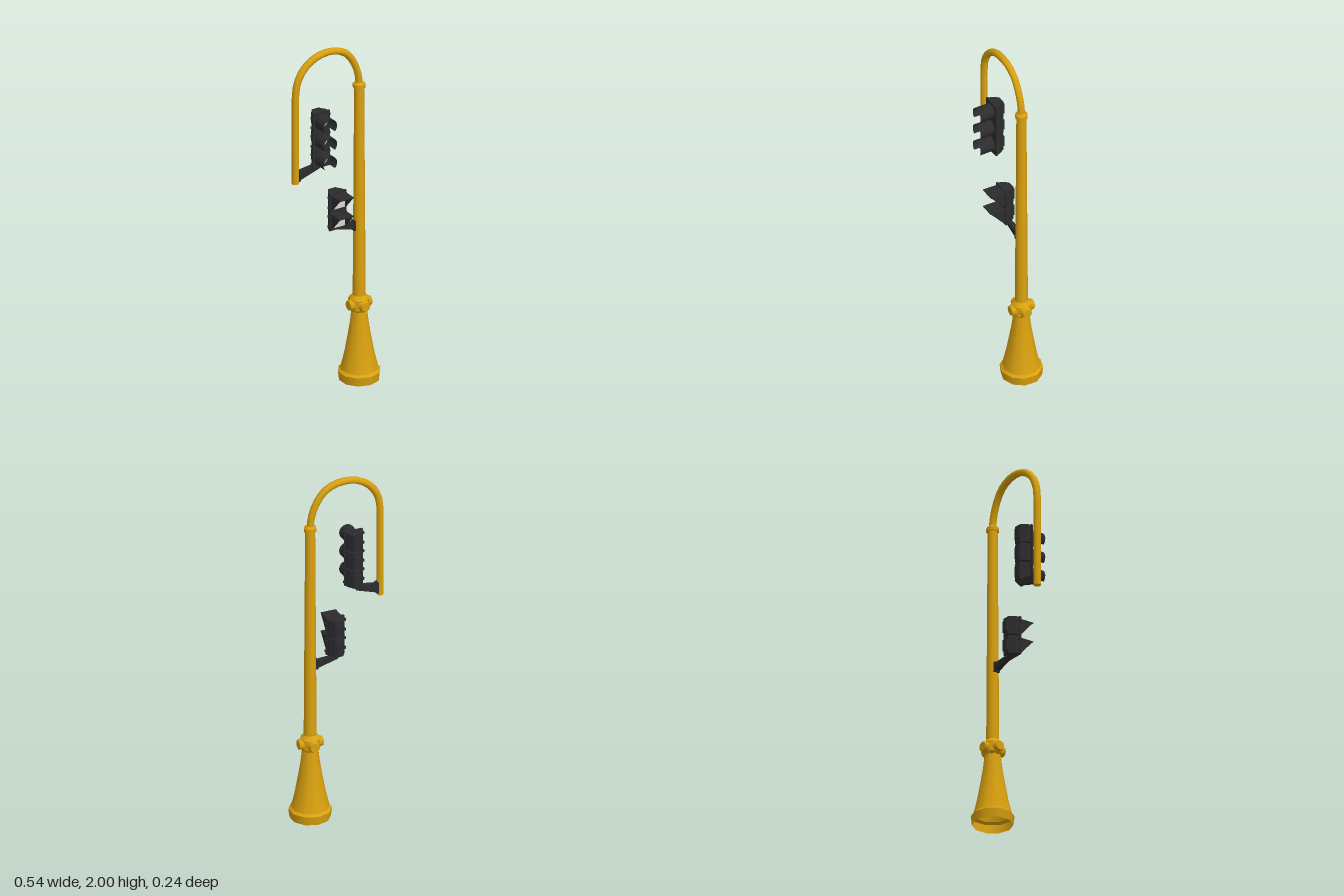
import * as THREE from 'three';

const DS = THREE.DoubleSide;
const yellow = new THREE.MeshStandardMaterial({ color: 0xdba20f, side: DS });
yellow.name = 'yellow paint';
const black = new THREE.MeshStandardMaterial({ color: 0x2c2c2e, side: DS, flatShading: true });
black.name = 'black housing';
const lensGrey = new THREE.MeshStandardMaterial({ color: 0xd6d6d6 });
lensGrey.name = 'pale lens';

const PX = 0.157, PZ = -0.005; // pole axis

function add(parent, name, geo, mat, x = 0, y = 0, z = 0) {
  const m = new THREE.Mesh(geo, mat);
  m.name = name;
  m.position.set(x, y, z);
  parent.add(m);
  return m;
}

const box = (w, h, d) => new THREE.BoxGeometry(w, h, d);

function lathe(points, sides) {
  return new THREE.LatheGeometry(points.map(p => new THREE.Vector2(p[0], p[1])), sides);
}

// Outline in the xy plane, extruded along z and centred on it
function slab(points, depth) {
  const s = new THREE.Shape(points.map(p => new THREE.Vector2(p[0], p[1])));
  return new THREE.ExtrudeGeometry(s, { depth, bevelEnabled: false }).translate(0, 0, -depth / 2);
}

// One housing section: wide front, chamfered back, seen from above as a trapezoid
function housing(h) {
  const g = slab([[-0.047, -0.03], [0.047, -0.03], [0.047, -0.005], [0.022, 0.032], [-0.022, 0.032], [-0.047, -0.005]], h);
  return g.rotateX(-Math.PI / 2);
}

// Shared signal section: back shell, front door, rear rib, hinges and latches
function section(g, y, h) {
  add(g, 'housing', housing(h - 0.006), black, 0, y, 0);
  add(g, 'door', box(0.106, h, 0.012), black, 0, y, 0.026);
  add(g, 'rearRib', box(0.038, h * 0.6, 0.012), black, 0, y, -0.034);
  for (const s of [-1, 1])
    for (const k of [-1, 1])
      add(g, 'hinge', box(0.012, 0.014, 0.012), black, s * 0.053, y + k * h * 0.27, 0.022);
}

function vehicleSignal() {
  const g = new THREE.Group();
  g.name = 'vehicleSignal';
  const gap = 0.75; // half angle of the opening under each visor
  for (const y of [-0.109, 0, 0.109]) {
    section(g, y, 0.107);
    const lens = new THREE.SphereGeometry(0.04, 20, 6, 0, Math.PI * 2, 0, Math.PI / 2);
    lens.rotateX(Math.PI / 2).scale(1, 1, 0.25);
    add(g, 'lens', lens, lensGrey, 0, y, 0.032);
    const visor = new THREE.CylinderGeometry(0.043, 0.043, 0.088, 16, 1, true, gap, Math.PI * 2 - 2 * gap);
    visor.rotateX(Math.PI / 2); // gap now faces down
    add(g, 'visor', visor, black, 0, y, 0.075);
  }
  return g;
}

function walkSignal() {
  const g = new THREE.Group();
  g.name = 'walkSignal';
  for (const y of [-0.055, 0.055]) {
    section(g, y, 0.109);
    add(g, 'lens', box(0.077, 0.08, 0.006), lensGrey, 0, y, 0.034);
    // Hood with a flat roof and triangular cheeks
    add(g, 'hoodRoof', box(0.088, 0.004, 0.086), black, 0, y + 0.043, 0.074);
    for (const s of [-1, 1]) {
      const cheek = slab([[0, 0.045], [0.086, 0.045], [0.012, -0.038], [0, -0.045]], 0.004).rotateY(-Math.PI / 2);
      add(g, 'hoodCheek', cheek, black, s * 0.042, y, 0.031);
    }
  }
  return g;
}

export function createModel() {
  const root = new THREE.Group();
  root.name = 'streetSignal';

  // Flared open base, split where the edges are hard
  const base = new THREE.Group();
  base.name = 'base';
  base.position.set(PX, 0, PZ);
  root.add(base);
  add(base, 'plinth', lathe([[0.111, 0], [0.117, 0.05]], 10), yellow);
  add(base, 'plinthTop', lathe([[0.117, 0.05], [0.104, 0.062]], 10), yellow);
  add(base, 'flare', lathe([[0.104, 0.062], [0.083, 0.15], [0.065, 0.25], [0.052, 0.33], [0.043, 0.41]], 10), yellow);

  // Collar with four round bosses
  const collar = new THREE.Group();
  collar.name = 'collar';
  collar.position.set(PX, 0.443, PZ);
  root.add(collar);
  add(collar, 'collarLower', lathe([[0.04, -0.045], [0.055, -0.028]], 8), yellow);
  add(collar, 'collarBand', lathe([[0.055, -0.028], [0.055, 0.03]], 8), yellow);
  add(collar, 'collarUpper', lathe([[0.055, 0.03], [0.034, 0.054]], 8), yellow);
  for (let i = 0; i < 4; i++) {
    const boss = new THREE.CylinderGeometry(0.027, 0.034, 0.026, 8);
    boss.rotateX(Math.PI / 2).translate(0, 0, 0.056).rotateY(i * Math.PI / 2);
    add(collar, 'boss', boss, yellow);
  }

  // Main pole and the ring at its top
  add(root, 'pole', new THREE.CylinderGeometry(0.027, 0.035, 1.25, 12), yellow, PX, 1.105, PZ);
  add(root, 'poleRing', new THREE.CylinderGeometry(0.035, 0.035, 0.022, 8), yellow, PX, 1.73, PZ);
  add(root, 'poleRingTop', new THREE.CylinderGeometry(0.023, 0.031, 0.012, 8), yellow, PX, 1.747, PZ);

  // Curved arm over the top and straight drop on the far side
  const path = new THREE.CurvePath();
  const pts = [[PX, 1.73], [0.152, 1.79], [0.125, 1.87], [0.075, 1.94], [0.01, 1.972], [-0.06, 1.979],
    [-0.135, 1.96], [-0.2, 1.91], [-0.238, 1.84], [-0.249, 1.75]].map(p => new THREE.Vector3(p[0], p[1], PZ));
  path.add(new THREE.CatmullRomCurve3(pts));
  add(root, 'archedArm', new THREE.TubeGeometry(path, 18, 0.02, 8), yellow);
  add(root, 'armDrop', new THREE.CylinderGeometry(0.02, 0.02, 0.5, 8), yellow, -0.249, 1.505, PZ);

  // Signals
  const vehicle = vehicleSignal();
  vehicle.position.set(-0.107, 1.492, 0);
  root.add(vehicle);
  const walk = walkSignal();
  walk.position.set(0, 1.045, 0);
  root.add(walk);

  // Tapered brackets that carry the signals
  add(root, 'vehicleBracket', slab([[-0.238, 1.272], [-0.222, 1.275], [-0.105, 1.312], [-0.09, 1.333],
    [-0.155, 1.333], [-0.238, 1.322]], 0.028), black, 0, 0, PZ);
  add(root, 'vehicleClamp', box(0.012, 0.064, 0.034), black, -0.229, 1.3, PZ);
  add(root, 'walkBracket', slab([[0.13, 0.89], [0.112, 0.892], [0.005, 0.922], [-0.012, 0.938],
    [0.05, 0.938], [0.13, 0.932]], 0.028), black, 0, 0, PZ);
  add(root, 'walkClamp', box(0.012, 0.056, 0.034), black, 0.121, 0.912, PZ);

  return root;
}
